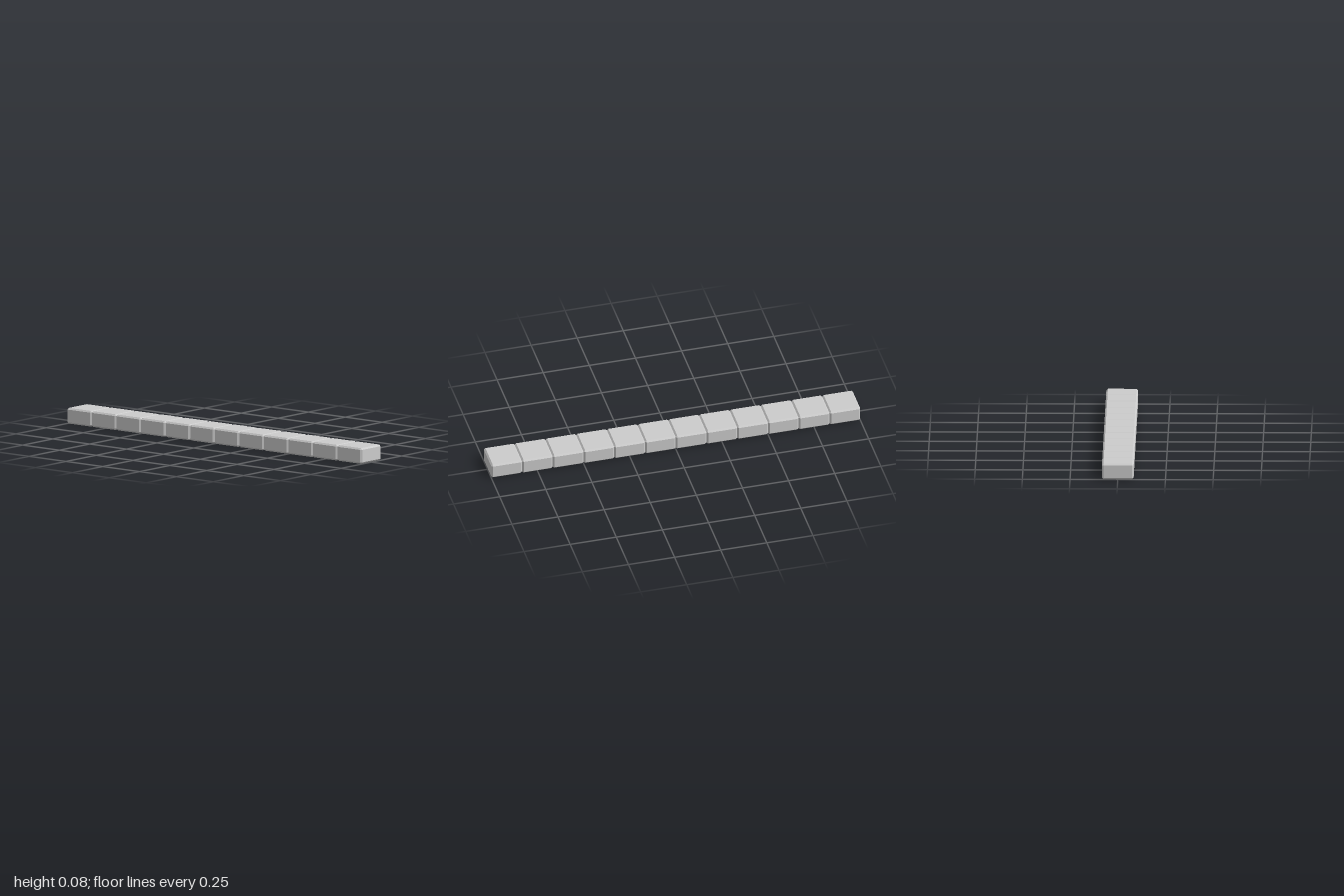
import * as THREE from 'three';
import { ConvexGeometry } from 'three/addons/geometries/ConvexGeometry.js';

const COUNT = 12;
const PITCH = 2 / COUNT;
const HEIGHT = PITCH / 2;
const BEVEL = 0.0083;

// Box with every edge and corner cut flat
function chamferedBox(w, h, d, c) {
  const points = [];
  for (const sx of [-1, 1]) for (const sy of [-1, 1]) for (const sz of [-1, 1]) {
    for (let axis = 0; axis < 3; axis++) {
      const half = [w / 2, h / 2, d / 2].map((v, i) => (i === axis ? v : v - c));
      points.push(new THREE.Vector3(sx * half[0], sy * half[1], sz * half[2]));
    }
  }
  return new ConvexGeometry(points);
}

export function createModel() {
  const group = new THREE.Group();
  group.name = 'blockRow';
  const material = new THREE.MeshStandardMaterial({ color: 0xcccccc, flatShading: true });
  const geometry = chamferedBox(PITCH, HEIGHT, PITCH, BEVEL);

  // Row of touching blocks, front to back
  for (let i = 0; i < COUNT; i++) {
    const block = new THREE.Mesh(geometry, material);
    block.name = `block${i + 1}`;
    block.position.set(0, HEIGHT / 2, 1 - (i + 0.5) * PITCH);
    group.add(block);
  }
  return group;
}
